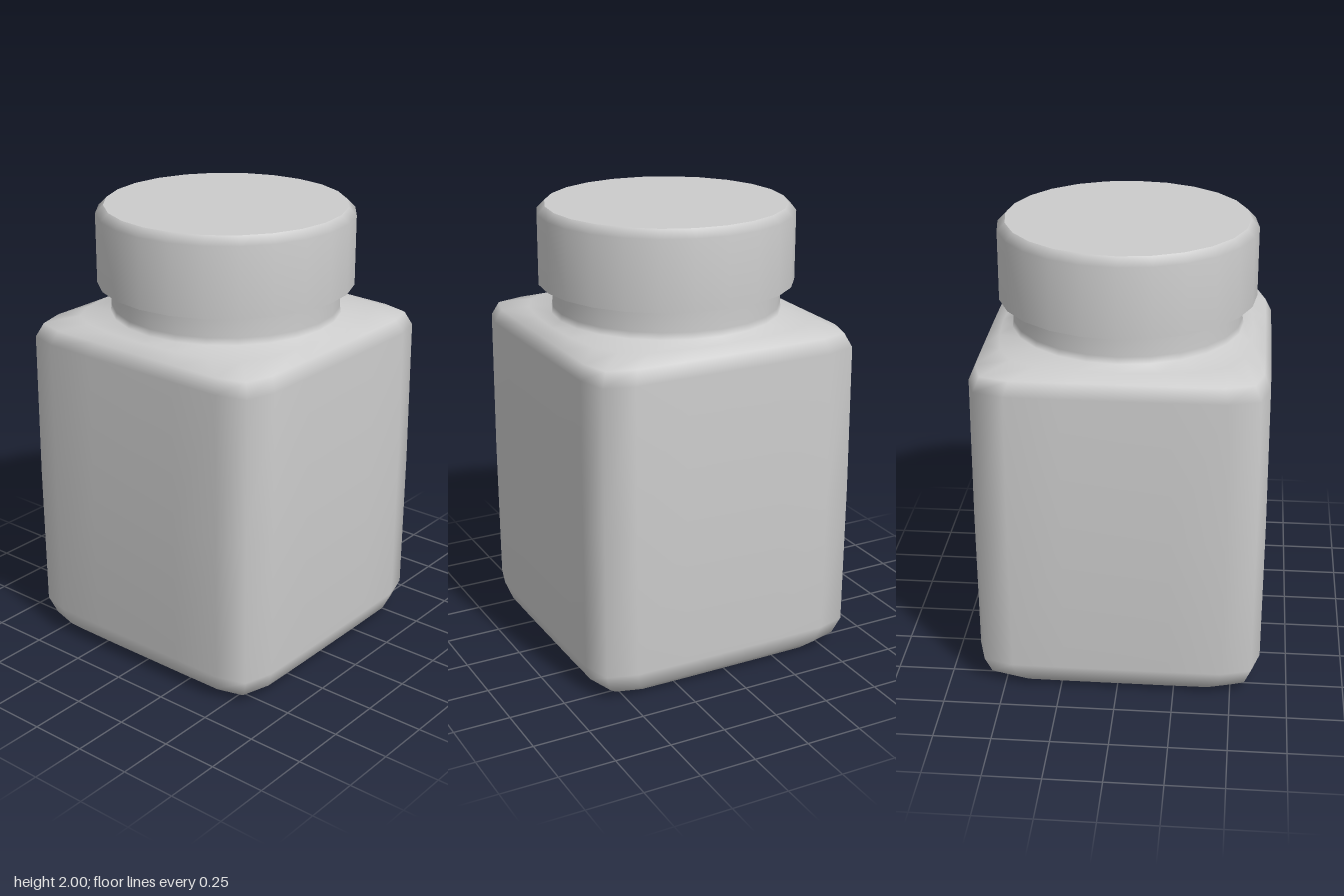
import * as THREE from 'three';

const SIDES = 24;

// Point i of a cross-section: size h, round 0 = soft square, 1 = circle
function ringPoint(i, h, round) {
  const corner = [[1, 0], [1, 0.365], [0.997, 0.73], [0.937, 0.937], [0.73, 0.997], [0.365, 1]];
  const [u, v] = corner[i % 6];
  const q = Math.floor(i / 6) % 4;
  const [sx, sz] = [[u, v], [-v, u], [-u, -v], [v, -u]][q];
  const a = (i / SIDES) * Math.PI * 2;
  return [
    h * THREE.MathUtils.lerp(sx, Math.cos(a), round),
    h * THREE.MathUtils.lerp(sz, Math.sin(a), round),
  ];
}

// Loft through [size, height, round] sections, from bottom to top
function loft(sections) {
  const pos = [], index = [];
  for (const [h, y, round] of sections) {
    for (let i = 0; i < SIDES; i++) {
      const [x, z] = ringPoint(i, h, round);
      pos.push(x, y, z);
    }
  }
  for (let r = 0; r < sections.length - 1; r++) {
    for (let i = 0; i < SIDES; i++) {
      const j = (i + 1) % SIDES;
      const a = r * SIDES + i, b = r * SIDES + j;
      const c = a + SIDES, d = b + SIDES;
      index.push(a, c, b, b, c, d);
    }
  }
  const geo = new THREE.BufferGeometry();
  geo.setAttribute('position', new THREE.Float32BufferAttribute(pos, 3));
  geo.setIndex(index);
  geo.computeVertexNormals();
  return geo;
}

export function createModel() {
  const model = new THREE.Group();
  const material = new THREE.MeshStandardMaterial({ color: 0xcccccc, side: THREE.DoubleSide });
  const add = (name, geo, parent = model) => {
    const mesh = new THREE.Mesh(geo, material);
    mesh.name = name;
    parent.add(mesh);
    return mesh;
  };

  // Square body: recess wall, rounded foot, sides, shoulder and round neck
  add('body', loft([
    [0.47, 0.05, 0], [0.52, 0, 0], [0.55, 0, 0], [0.6, 0.045, 0], [0.63, 0.125, 0],
    [0.633, 0.77, 0], [0.63, 1.42, 0], [0.602, 1.48, 0],
    [0.55, 1.51, 0.5], [0.505, 1.53, 1], [0.5, 1.56, 1], [0.5, 1.66, 1],
  ]));

  // Flat floor of the recess under the body
  const outline = [];
  for (let i = 0; i < SIDES; i++) outline.push(new THREE.Vector2(...ringPoint(i, 0.47, 0)));
  add('baseFloor', new THREE.ShapeGeometry(new THREE.Shape(outline)).rotateX(Math.PI / 2).translate(0, 0.05, 0));

  // Lid: bevelled wall, flat top, ring underneath
  const lid = new THREE.Group();
  lid.name = 'lid';
  model.add(lid);
  const wall = [[0.56, 1.66], [0.56, 1.965], [0.525, 2]].map(p => new THREE.Vector2(...p));
  add('lidWall', new THREE.LatheGeometry(wall, SIDES), lid);
  add('lidTop', new THREE.CircleGeometry(0.525, SIDES).rotateX(-Math.PI / 2).translate(0, 2, 0), lid);
  add('lidUnderside', new THREE.RingGeometry(0.49, 0.56, SIDES).rotateX(Math.PI / 2).translate(0, 1.66, 0), lid);

  return model;
}
